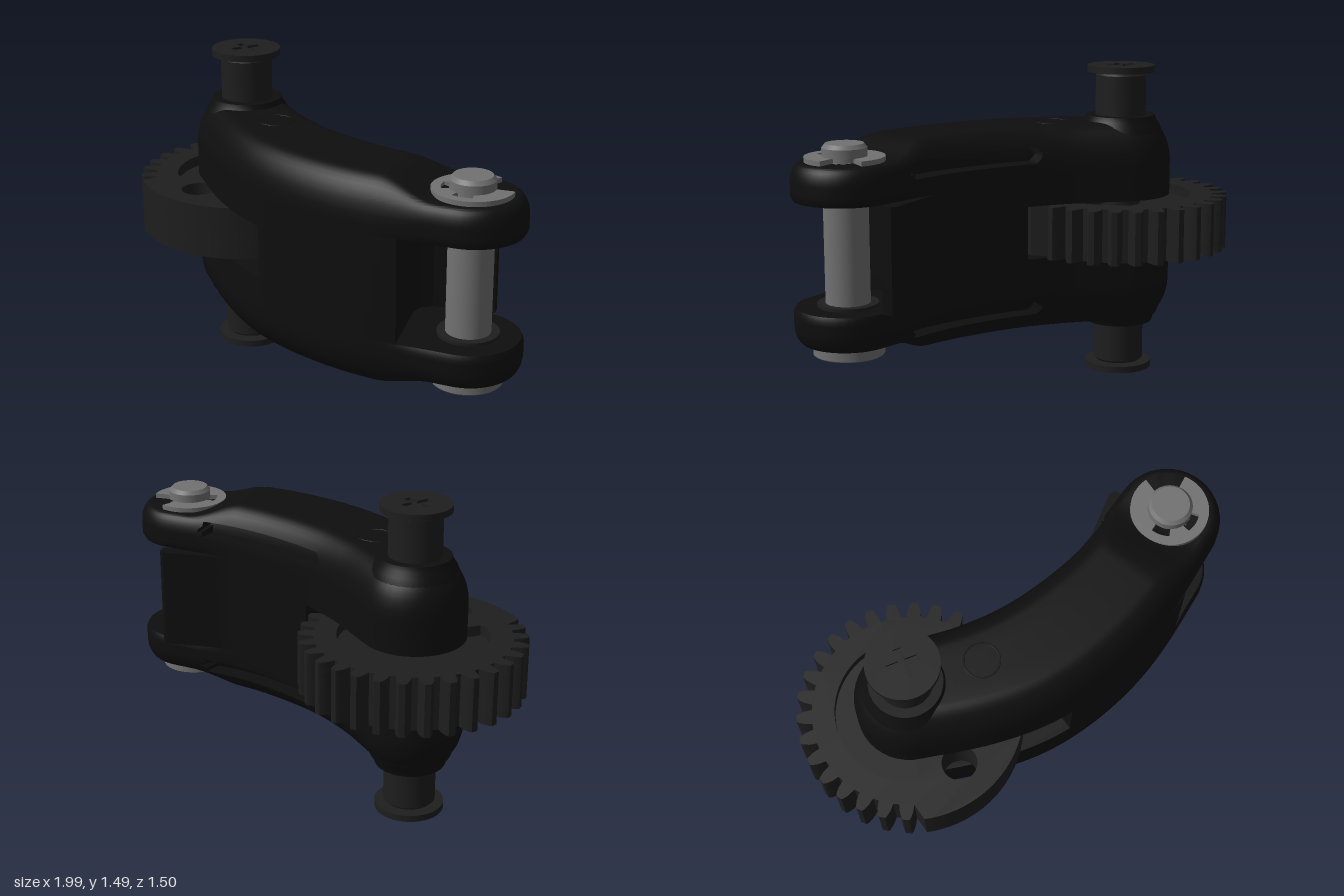
import * as THREE from 'three';
import { toCreasedNormals } from 'three/addons/utils/BufferGeometryUtils.js';

const MID = 0.743;                       // height of the mirror plane
const AXLE = [-0.485, -0.24], PIN = [0.755, 0.51];
const black = new THREE.MeshStandardMaterial({ color: 0x0e0e0e });
const dark = new THREE.MeshStandardMaterial({ color: 0x1e1e1e });
const steel = new THREE.MeshStandardMaterial({ color: 0x727272 });
const rad = THREE.MathUtils.degToRad, lerp = THREE.MathUtils.lerp;

function add(parent, name, geo, mat, x = 0, y = 0, z = 0) {
  const mesh = new THREE.Mesh(geo, mat);
  mesh.name = name;
  mesh.position.set(x, y, z);
  parent.add(mesh);
  return mesh;
}

// upright plate from a plan shape (shape y = -z)
function plate(shape, depth) {
  const g = new THREE.ExtrudeGeometry(shape, { depth, bevelEnabled: false, curveSegments: 48 });
  return toCreasedNormals(g.rotateX(-Math.PI / 2), 0.5);
}

function lathe(points, seg = 48) {
  const g = new THREE.LatheGeometry(points.map(p => new THREE.Vector2(...p)), seg);
  return toCreasedNormals(g, 0.6);
}

const polar = (r, deg) => new THREE.Vector2(r * Math.cos(rad(deg)), r * Math.sin(rad(deg)));

// centre line of the arm
const spine = new THREE.CatmullRomCurve3(
  [AXLE, [-0.29, 0.015], [-0.12, 0.18], [0.1, 0.32], [0.365, 0.43], PIN]
    .map(([x, z]) => new THREE.Vector3(x, 0, z)));
const N = 90, CAP = 20;

// plan outline of the arm as stations: centre, outward direction, half width, side
const stations = [];
function station(t, phi, side) {
  const p = spine.getPoint(t), d = spine.getTangent(t);
  const c = Math.cos(phi), s = Math.sin(phi);
  stations.push({ side, x: p.x, z: p.z, nx: -d.z * c + d.x * s, nz: d.x * c + d.z * s,
    w: 0.24 + 0.025 * Math.sin(Math.PI * t) });
}
for (let i = 0; i <= N; i++) station(i / N, 0, 'front');
for (let i = 1; i < CAP; i++) station(1, Math.PI * i / CAP, 'end');
for (let i = N; i >= 0; i--) station(i / N, Math.PI, 'back');
for (let i = 1; i < CAP; i++) station(0, Math.PI * (1 + i / CAP), 'start');

// depth of the round-ended slot in the back of the arm
const SLOT = { from: -0.18, to: 0.58, y: 0.36, half: 0.036, depth: 0.08 };
function slotDepth(s, y) {
  if (s.side !== 'back') return 0;
  const past = Math.max(SLOT.from + SLOT.half - s.x, s.x - SLOT.to + SLOT.half, 0);
  return Math.hypot(past, y - SLOT.y) < SLOT.half ? SLOT.depth : 0;
}

// rounded outer half of the arm, running into a fork prong, with a slot along the back
function armSlab(sign) {
  const sideRows = [0.24, 0.26, 0.28, 0.3, 0.323, 0.326, 0.335, 0.345, 0.36, 0.375, 0.385, 0.394, 0.397];
  const topRows = [0.25, 0.5, 0.7, 0.84, 0.93, 0.98, 1];
  const rows = sideRows.length + topRows.length + 3, n = stations.length, pos = [], index = [];
  for (let j = 0; j < rows; j++) {
    for (const s of stations) {
      const drop = THREE.MathUtils.smoothstep(s.x, 0.4, 0.67);
      const H = lerp(0.482, 0.407, drop), a = lerp(0.125, 0.05, drop), b = lerp(0.2, 0.09, drop);
      const sine = y => Math.max(0, (y - H + b) / b);
      let r = 0, y = j ? H : 0.24;
      if (j === rows - 2) r = (s.w - a) * 0.5;
      else if (j > 0 && j < rows - 2) {
        const k = j - 1 - sideRows.length;
        const q = k < 0 ? sine(sideRows[j - 1]) : lerp(sine(0.397), 1, topRows[k]);
        y = k < 0 ? sideRows[j - 1] : H - b + b * q;
        r = s.w - a * (1 - Math.sqrt(1 - q * q)) - slotDepth(s, y);
        if (j === 1) r -= 0.01 * drop;
      }
      pos.push(s.x + s.nx * r, MID + sign * y, s.z + s.nz * r);
    }
  }
  for (let j = 0; j < rows - 1; j++) {
    for (let i = 0; i < n; i++) {
      const k = (i + 1) % n;
      const a = j * n + i, b = j * n + k, c = b + n, d = a + n;
      if (sign > 0) index.push(a, b, c, a, c, d);
      else index.push(a, c, b, a, d, c);
    }
  }
  const g = new THREE.BufferGeometry();
  g.setAttribute('position', new THREE.Float32BufferAttribute(pos, 3));
  g.setIndex(index);
  return toCreasedNormals(g, 0.6);
}

// plan of the arm core: open at the fork, with a thin wall behind the pin
function coreShape(clearGear) {
  const rim = s => [s.x + s.nx * s.w, s.z + s.nz * s.w];
  const front = stations.filter(s => s.side === 'front').map(rim).filter(p => p[0] < 0.478);
  const back = stations.filter(s => s.side === 'back').map(rim).filter(p => p[0] < 0.52);
  const start = stations.filter(s => s.side === 'start').map(rim);
  const zf = front[front.length - 1][1];
  const notch = [[0.48, zf + 0.002], [0.48, 0.36], [0.5, 0.31], [0.55, 0.28], [0.83, 0.28],
    [0.83, 0.23], [0.81, 0.21], [0.58, 0.21]];
  let pts = [...front, ...notch, ...back, ...start];
  if (clearGear) pts = pts.filter(([x, z]) => (x - AXLE[0]) * 0.85 + (z - AXLE[1]) * 0.52 > 0.57);
  return new THREE.Shape(pts.map(([x, z]) => new THREE.Vector2(x, -z)));
}

// gear plan: teeth around the back, plain rim at the front
function gearShape() {
  const pts = [];
  for (let k = -9; k <= 9; k++) {
    const a = 94 + 12 * k;
    for (const [r, d] of [[0.445, -4.3], [0.48, -3.5], [0.506, -2.3], [0.515, -1.5],
      [0.515, 1.5], [0.506, 2.3], [0.48, 3.5], [0.445, 4.3]]) pts.push(polar(r, a + d));
  }
  for (let a = 211; a <= 332; a += 4) pts.push(polar(0.515, a));
  const shape = new THREE.Shape(pts);
  shape.holes.push(new THREE.Path().absarc(-0.145, -0.305, 0.08, 0, Math.PI * 2, true));
  return shape;
}

function makeGear() {
  const gear = new THREE.Group();
  gear.name = 'gear';
  const rim = gearShape(), recess = [];
  for (let a = -30; a <= 210; a += 4) recess.push(polar(a === -30 || a === 210 ? 0.325 : 0.342, a));
  for (let a = 210; a >= -30; a -= 12) recess.push(polar(0.1, a));
  rim.holes.push(new THREE.Path(recess));
  add(gear, 'gearWeb', plate(gearShape(), 0.15), dark, AXLE[0], MID - 0.075, AXLE[1]);
  for (const y of [0.075, -0.125]) add(gear, 'gearRim', plate(rim, 0.05), dark, AXLE[0], MID + y, AXLE[1]);
  return gear;
}

// axle stub with boss, groove and cross-recessed cap
function makeAxle(top) {
  const g = new THREE.Group();
  g.name = top ? 'upperAxle' : 'lowerAxle';
  add(g, 'boss', lathe([[0.225, 0.3], [0.21, 0.4], [0.187, 0.46], [0.17, 0.485], [0.163, 0.507], [0, 0.507]]), black);
  add(g, 'stub', lathe([[0.12, 0.5], [0.12, 0.697], [0.11, 0.707], [0.065, 0.707], [0.065, 0.715]]), dark);
  add(g, 'cap', lathe([[0, 0.712], [0.16, 0.712], [0.16, 0.731], [0, 0.731]]), dark);
  const face = new THREE.Shape().absarc(0, 0, 0.16, 0, Math.PI * 2);
  const l = 0.07, w = 0.016;
  const cross = [[l, -w], [l, w], [w, w], [w, l], [-w, l], [-w, w], [-l, w], [-l, -w], [-w, -w], [-w, -l], [w, -l], [w, -w]];
  face.holes.push(new THREE.Path(cross.map(p => new THREE.Vector2(...p).rotateAround(new THREE.Vector2(), Math.PI / 4))));
  add(g, 'capFace', plate(face, 0.012), dark, 0, 0.731, 0);
  g.position.set(AXLE[0], MID, AXLE[1]);
  if (!top) g.rotation.x = Math.PI;
  return g;
}

// hinge pin with head, washers and spring clip
function makePin() {
  const g = new THREE.Group();
  g.name = 'hingePin';
  add(g, 'pinShaft', lathe([[0, 0.28], [0.155, 0.28], [0.16, 0.285], [0.16, 0.34], [0.1, 0.34], [0.1, 1.15],
    [0.085, 1.15], [0.085, 1.17], [0.1, 1.17], [0.1, 1.21], [0.085, 1.228], [0, 1.228]]), steel);
  const washer = new THREE.CylinderGeometry(0.137, 0.137, 0.014, 40);
  add(g, 'upperWasher', washer, steel, 0, 0.976, 0);
  add(g, 'lowerWasher', washer, dark, 0, 0.51, 0);
  const pts = [];
  for (let a = 58; a <= 360; a += 4) pts.push(polar(0.178, a));
  for (let a = 360; a >= 58; a -= 4) {
    const relief = (a > 162 && a < 202) || (a > 238 && a < 282);
    pts.push(polar(relief ? 0.135 : 0.088, a));
  }
  add(g, 'springClip', plate(new THREE.Shape(pts), 0.022), steel, 0, 1.15, 0);
  g.position.set(PIN[0], 0, PIN[1]);
  return g;
}

export function createModel() {
  const model = new THREE.Group();
  model.name = 'gearedHingeArm';

  const arm = new THREE.Group();
  arm.name = 'arm';
  add(arm, 'upperArm', armSlab(1), black);
  add(arm, 'lowerArm', armSlab(-1), black);
  add(arm, 'upperCore', plate(coreShape(false), 0.115), black, 0, MID + 0.125, 0);
  add(arm, 'gearPocket', plate(coreShape(true), 0.25), black, 0, MID - 0.125, 0);
  add(arm, 'lowerCore', plate(coreShape(false), 0.115), black, 0, MID - 0.24, 0);
  // small round mark on the top face
  const ring = new THREE.TorusGeometry(0.08, 0.005, 8, 40).rotateX(Math.PI / 2);
  add(arm, 'roundMark', ring, black, -0.26, MID + 0.479, 0.02);
  model.add(arm, makeGear(), makeAxle(true), makeAxle(false), makePin());
  return model;
}
